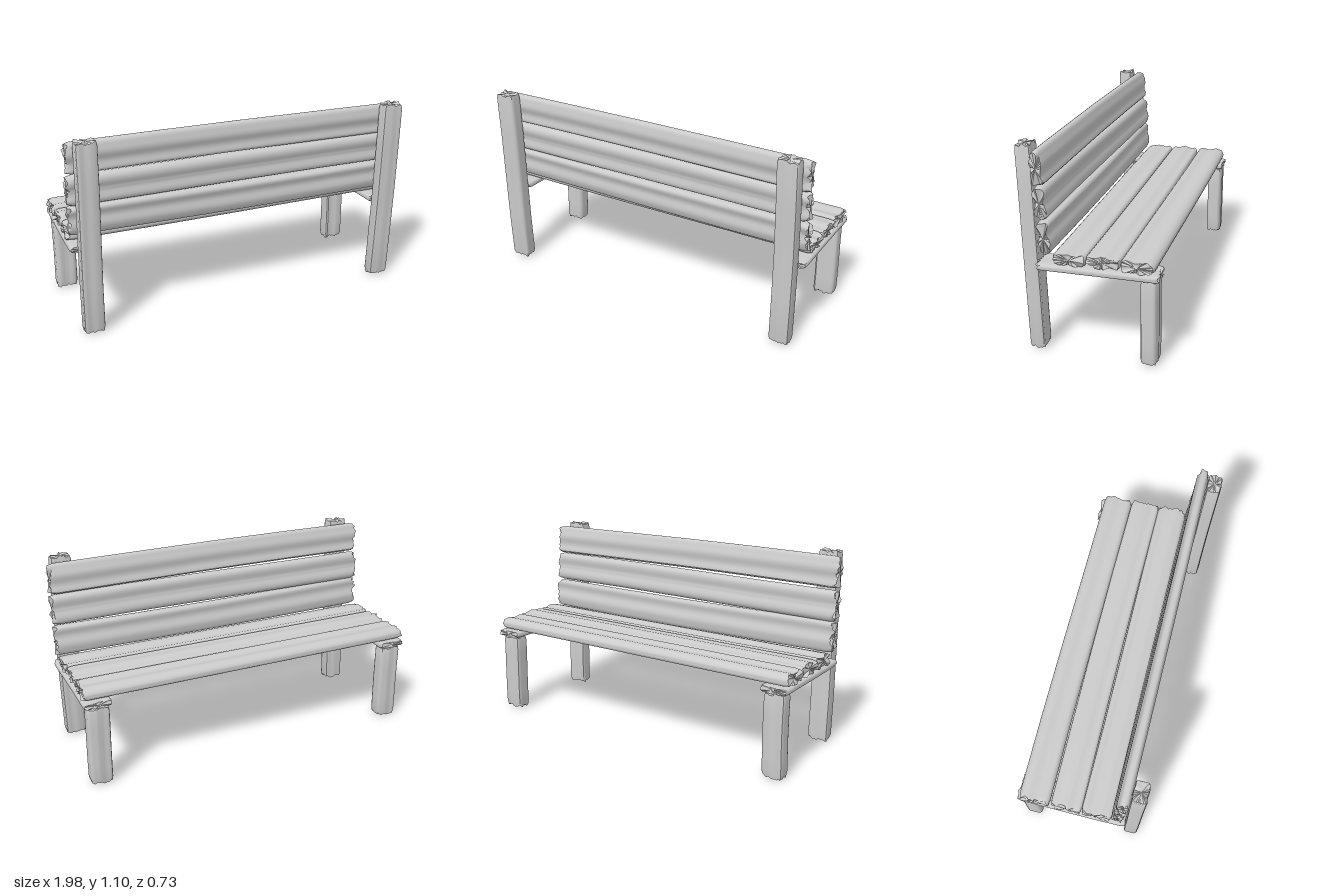
import * as THREE from 'three';
import { toCreasedNormals } from 'three/addons/utils/BufferGeometryUtils.js';

const material = new THREE.MeshStandardMaterial({ color: 0xcccccc, side: THREE.DoubleSide });

// Small seeded random generator, 0..1
function seeded(seed) {
  let s = seed * 7919 + 13;
  return () => {
    s = (s * 16807) % 2147483647;
    return (s % 10007) / 10007;
  };
}

// Rounded rectangle outline, counterclockwise
function outline(w, t, r, count) {
  const a = w / 2 - r, b = t / 2 - r, q = Math.PI / 2;
  const path = new THREE.Path();
  path.absarc(a, b, r, 0, q);
  path.absarc(-a, b, r, q, 2 * q);
  path.absarc(-a, -b, r, 2 * q, 3 * q);
  path.absarc(a, -b, r, 3 * q, 4 * q);
  path.closePath();
  return path.getSpacedPoints(count).slice(0, count);
}

// Weathered timber along x (width on y, thickness on z) with splintered ends
function timber(name, length, width, thick, { seed, jag = 0.03, wave = 0.005, bow = 0.004, round = 0.4 }) {
  const rand = seeded(seed);
  for (let i = 0; i < 5; i++) rand();
  const count = 36, half = length / 2;
  const phases = [rand() * 6.28, rand() * 6.28, rand() * 6.28];
  const section = outline(width, thick, Math.min(width, thick) * round, count).map((p) => {
    // Worn grooves running along both broad faces
    const u = (p.x / width) * Math.PI * 2;
    const side = p.y > 0 ? 0 : 1;
    const groove = wave * Math.sin(u * 1.7 + phases[side]);
    return new THREE.Vector2(p.x, p.y + groove * Math.min(1, Math.abs(p.y) / (thick * 0.3)));
  });

  // Splinter depth for each end, repeated on its inner ring
  const splinters = [0, 1].map(() => {
    const coarse = section.map(() => rand());
    return coarse.map((v, i) => jag * (i % 2 ? (v + coarse[(i + 1) % count]) / 2 : v));
  });

  // Rings: [end sign, distance from the end, scale, splinter weight]
  const endRings = [[jag * 0.4, 0, 0], [jag * 0.2, 0.55, 0.7], [0, 0.92, 1], [jag + 0.012, 1, 0]];
  const rings = [
    ...endRings.map((r) => [-1, ...r]),
    [-1, half * 0.5, 1, 0], [1, half, 1, 0], [1, half * 0.5, 1, 0],
    ...endRings.map((r) => [1, ...r]).reverse(),
  ];

  const positions = [], index = [];
  rings.forEach(([sign, inset, scale, weight], k) => {
    section.forEach((p, i) => {
      const x = sign * (half - inset - weight * splinters[sign < 0 ? 0 : 1][i]);
      const bend = bow * Math.sin((x / half) * 2.2 + phases[2]);
      positions.push(x, p.x * scale + bend, p.y * scale + bend * 0.4);
      if (k === rings.length - 1) return;
      const a = k * count + i, d = k * count + ((i + 1) % count);
      if (k > 0) index.push(a, d, a + count);
      if (k < rings.length - 2) index.push(d, d + count, a + count);
      else return;
      if (k === 0) return;
    });
  });
  const geometry = new THREE.BufferGeometry();
  geometry.setAttribute('position', new THREE.Float32BufferAttribute(positions, 3));
  geometry.setIndex(index);
  const mesh = new THREE.Mesh(toCreasedNormals(geometry, 0.7), material);
  mesh.name = name;
  return mesh;
}

export function createModel() {
  const bench = new THREE.Group();
  bench.name = 'bench';
  const add = (mesh, position, rotation) => {
    mesh.position.set(...position);
    mesh.rotation.set(...rotation);
    bench.add(mesh);
  };
  const quarter = Math.PI / 2;

  // Backrest planks, leaning backwards
  [[0.635, 0.218], [0.812, 0.232], [0.992, 0.247]].forEach(([y, z], i) => {
    add(timber('backPlank', 1.985, 0.172, 0.056, { seed: 11 + i }), [0, y, z], [0.1, 0, 0]);
  });

  // Seat planks
  [[0.536, 0.098], [0.54, -0.077], [0.536, -0.254]].forEach(([y, z], i) => {
    add(timber('seatPlank', 1.985, 0.174, 0.06, { seed: 31 + i }), [0, y, z], [quarter, 0, 0]);
  });

  for (const side of [-1, 1]) {
    const seed = 60 + side * 7;
    // Tall rear post, tilted with the backrest
    add(timber('rearPost', 1.1, 0.115, 0.079, { seed, jag: 0.02, wave: 0.002, round: 0.18 }),
      [side * 0.893, 0.552, 0.305], [0.035, 0, quarter]);
    // Short front leg
    add(timber('frontLeg', 0.47, 0.12, 0.085, { seed: seed + 1, jag: 0.02, wave: 0.003, bow: 0.002, round: 0.2 }),
      [side * 0.91, 0.238, -0.303], [0, 0, quarter]);
    // Cross board carrying the seat
    add(timber('seatSupport', 0.63, 0.155, 0.035, { seed: seed + 2, jag: 0.02, wave: 0.001, bow: 0.002 }),
      [side * 0.912, 0.485, -0.047], [quarter, 0, quarter]);
  }
  return bench;
}
